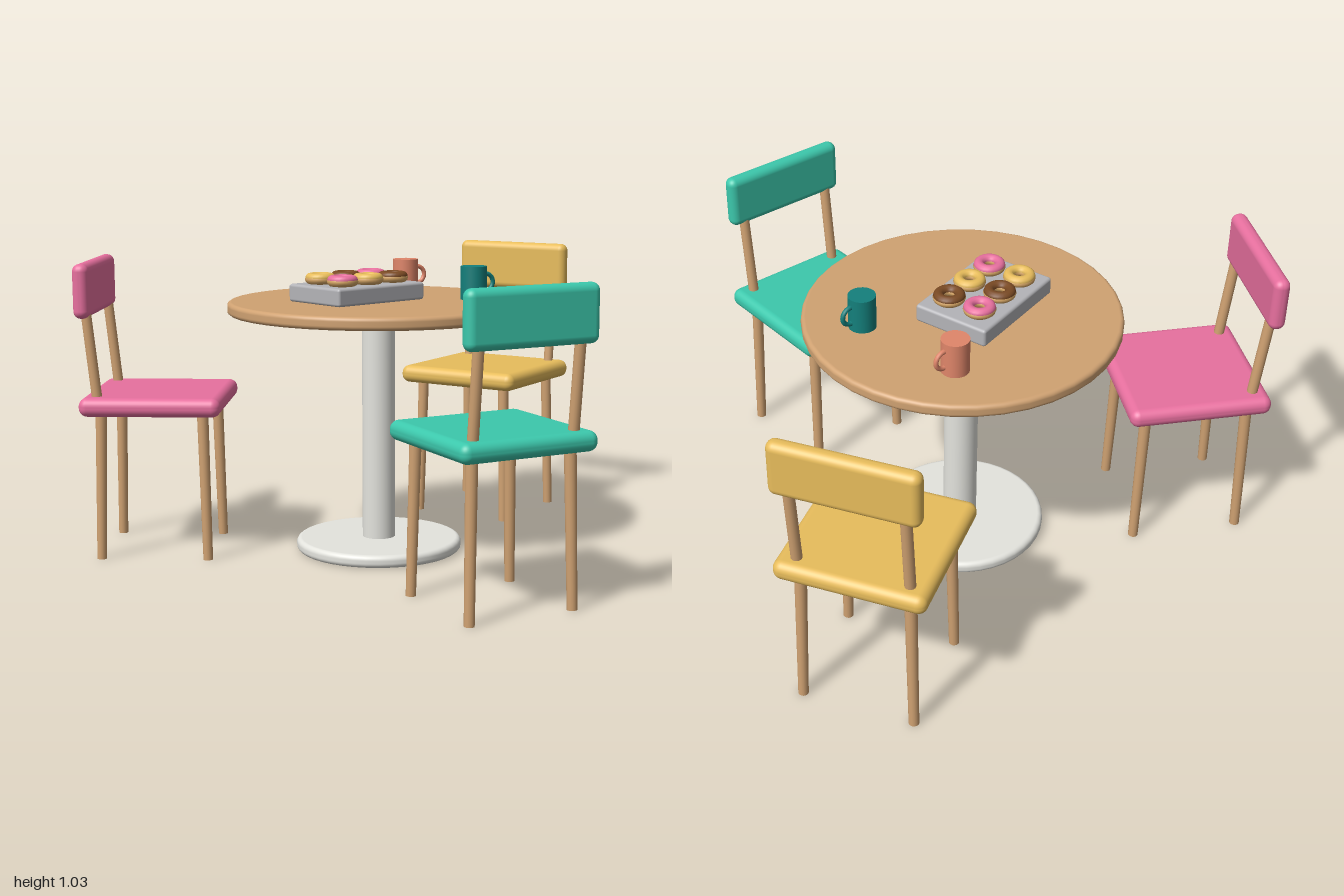
import * as THREE from 'three';
import { RoundedBoxGeometry } from 'three/addons/geometries/RoundedBoxGeometry.js';

const mat = (color) => new THREE.MeshStandardMaterial({ color });
const wood = mat(0xd0a272);
const enamel = mat(0xe4e4de);
const steel = mat(0xb4b4b8);
const dough = mat(0xd9a866);
const teal = mat(0x3cc8ac), yellow = mat(0xe8bd5c), pink = mat(0xe8709f), brown = mat(0x7a4a24);

function add(parent, name, geometry, material, x = 0, y = 0, z = 0) {
  const mesh = new THREE.Mesh(geometry, material);
  mesh.name = name;
  mesh.position.set(x, y, z);
  parent.add(mesh);
  return mesh;
}

// Tapered round bar between two points
function bar(parent, name, a, b, rA, rB, material) {
  const from = new THREE.Vector3(...a), to = new THREE.Vector3(...b);
  const dir = to.clone().sub(from);
  const mesh = add(parent, name, new THREE.CylinderGeometry(rB, rA, dir.length(), 14), material);
  mesh.position.copy(from).add(to).multiplyScalar(0.5);
  mesh.quaternion.setFromUnitVectors(new THREE.Vector3(0, 1, 0), dir.normalize());
}

// Round slab with softened rims
function disc(radius, y0, y1, bevel) {
  const shape = new THREE.Path();
  shape.moveTo(0, y0);
  shape.lineTo(radius - bevel, y0);
  shape.absarc(radius - bevel, y0 + bevel, bevel, -Math.PI / 2, 0);
  shape.absarc(radius - bevel, y1 - bevel, bevel, 0, Math.PI / 2);
  shape.lineTo(0, y1);
  return new THREE.LatheGeometry(shape.getPoints(4), 40);
}

// Chair facing the table, with its back toward local +z
function chair(color) {
  const g = new THREE.Group();
  g.name = 'chair';
  add(g, 'seat', new RoundedBoxGeometry(0.489, 0.066, 0.489, 4, 0.03), color, 0, 0.543, 0);
  add(g, 'backrest', new RoundedBoxGeometry(0.468, 0.187, 0.056, 4, 0.026), color, 0, 0.941, 0.225);
  for (const sx of [-1, 1]) {
    for (const sz of [-1, 1]) {
      bar(g, 'leg', [sx * 0.187, 0, sz * 0.187], [sx * 0.176, 0.53, sz * 0.176], 0.017, 0.02, wood);
    }
    bar(g, 'backPost', [sx * 0.18, 0.55, 0.186], [sx * 0.18, 0.92, 0.223], 0.018, 0.018, wood);
  }
  return g;
}

function mug(color, x, z) {
  const g = new THREE.Group();
  g.name = 'mug';
  add(g, 'cup', new THREE.CylinderGeometry(0.046, 0.046, 0.118, 24), color, 0, 0.059, 0);
  add(g, 'handle', new THREE.TorusGeometry(0.03, 0.008, 10, 24), color, 0.048, 0.059, 0);
  g.position.set(x, 0.893, z);
  return g;
}

function donut(icing) {
  const g = new THREE.Group();
  g.name = 'donut';
  const ring = (r) => new THREE.TorusGeometry(0.035, r, 12, 28).rotateX(Math.PI / 2);
  add(g, 'dough', ring(0.019), dough).scale.y = 0.9;
  add(g, 'icing', ring(0.0175), icing, 0, 0.006, 0).scale.y = 0.9;
  return g;
}

export function createModel() {
  const root = new THREE.Group();
  root.name = 'donutTableSet';
  const centreZ = -0.157;

  // Pedestal table
  const table = new THREE.Group();
  table.name = 'table';
  table.position.z = centreZ;
  add(table, 'tableTop', disc(0.528, 0.849, 0.894, 0.015), wood);
  add(table, 'column', new THREE.CylinderGeometry(0.058, 0.058, 0.83, 28), enamel, 0, 0.435, 0);
  add(table, 'base', disc(0.294, 0, 0.045, 0.018), enamel);
  root.add(table);

  // Three chairs spaced evenly round the table
  [teal, yellow, pink].forEach((color, i) => {
    const pivot = new THREE.Group();
    pivot.name = 'chairPlace';
    pivot.position.z = centreZ;
    pivot.rotation.y = (i * Math.PI * 2) / 3;
    const c = chair(color);
    c.position.z = 0.776;
    pivot.add(c);
    root.add(pivot);
  });

  // Tray with two rows of donuts
  const tray = new THREE.Group();
  tray.name = 'tray';
  tray.position.set(-0.07, 0.893, -0.185);
  tray.rotation.y = 0.255;
  add(tray, 'trayBody', new RoundedBoxGeometry(0.395, 0.062, 0.27, 3, 0.01), steel, 0, 0.031, 0);
  [[yellow, brown, pink], [pink, yellow, brown]].forEach((row, r) => row.forEach((icing, c) => {
    const d = donut(icing);
    d.position.set((c - 1) * 0.116, 0.078, (r - 0.5) * 0.118);
    tray.add(d);
  }));
  root.add(tray);

  // Mugs
  root.add(mug(mat(0xe0866a), 0.235, -0.395), mug(mat(0x14807c), 0.305, -0.018));
  return root;
}
